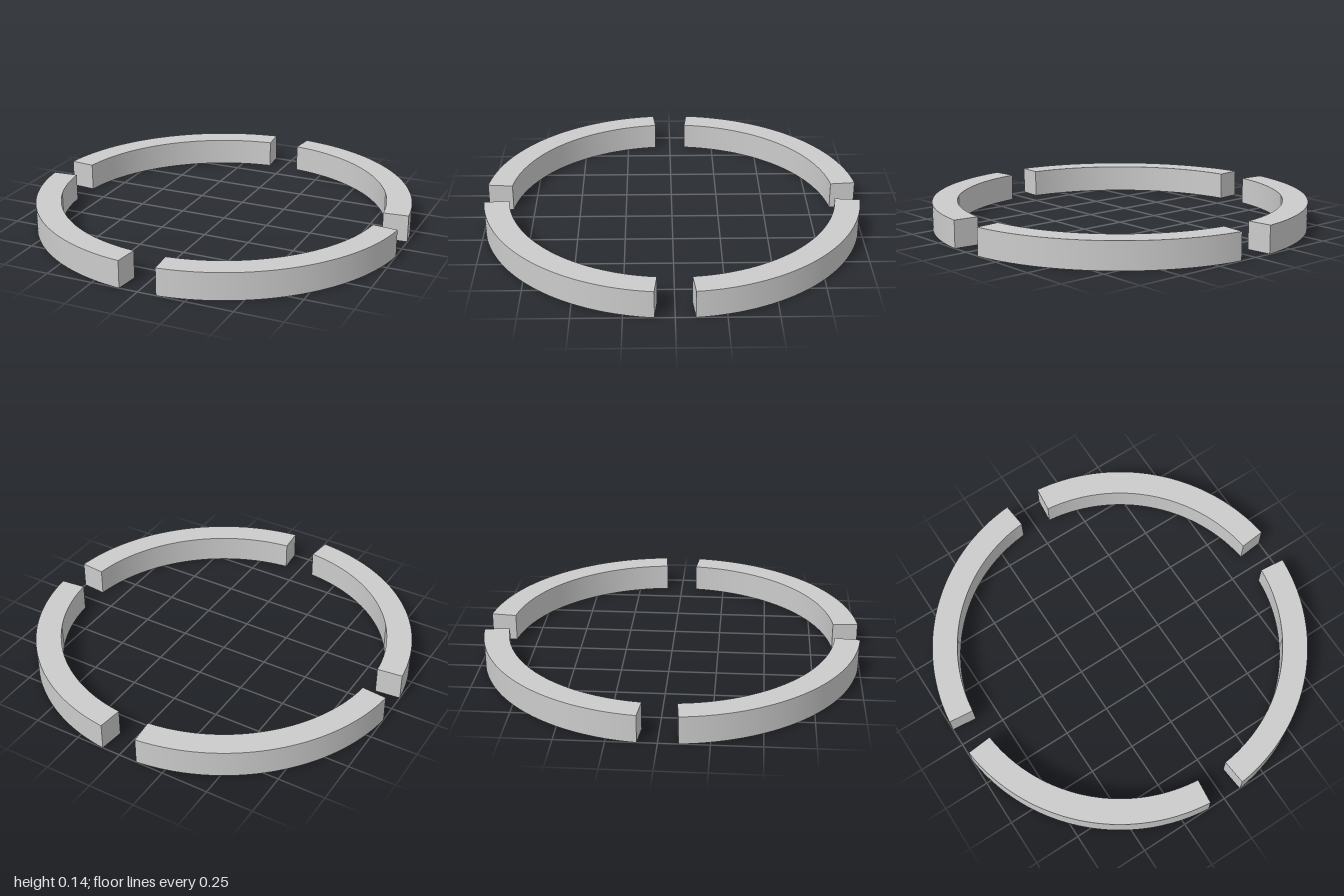
import * as THREE from 'three';
import { toCreasedNormals } from 'three/addons/utils/BufferGeometryUtils.js';

export function createModel() {
  const model = new THREE.Group();
  model.name = 'segmentedRing';
  const material = new THREE.MeshStandardMaterial({ color: 0xcccccc });

  const height = 0.145;
  const gap = THREE.MathUtils.degToRad(5.65); // half of the gap between segments
  const outer = 1 / Math.cos(gap); // segment ends reach exactly 1 on each axis
  const inner = outer * 0.867;

  // Quarter-ring outline, shortened at both ends by the half gap
  const outline = new THREE.Shape();
  outline.absarc(0, 0, outer, gap, Math.PI / 2 - gap, false);
  outline.absarc(0, 0, inner, Math.PI / 2 - gap, gap, true);
  outline.closePath();

  const extruded = new THREE.ExtrudeGeometry(outline, {
    depth: height, bevelEnabled: false, curveSegments: 32,
  });
  extruded.rotateX(-Math.PI / 2);
  const geometry = toCreasedNormals(extruded, Math.PI / 6);

  // Four equal segments around the circle
  const names = ['backLeftSegment', 'backRightSegment', 'frontRightSegment', 'frontLeftSegment'];
  names.forEach((name, i) => {
    const segment = new THREE.Mesh(geometry, material);
    segment.name = name;
    segment.rotation.y = i * Math.PI / 2;
    model.add(segment);
  });

  return model;
}
